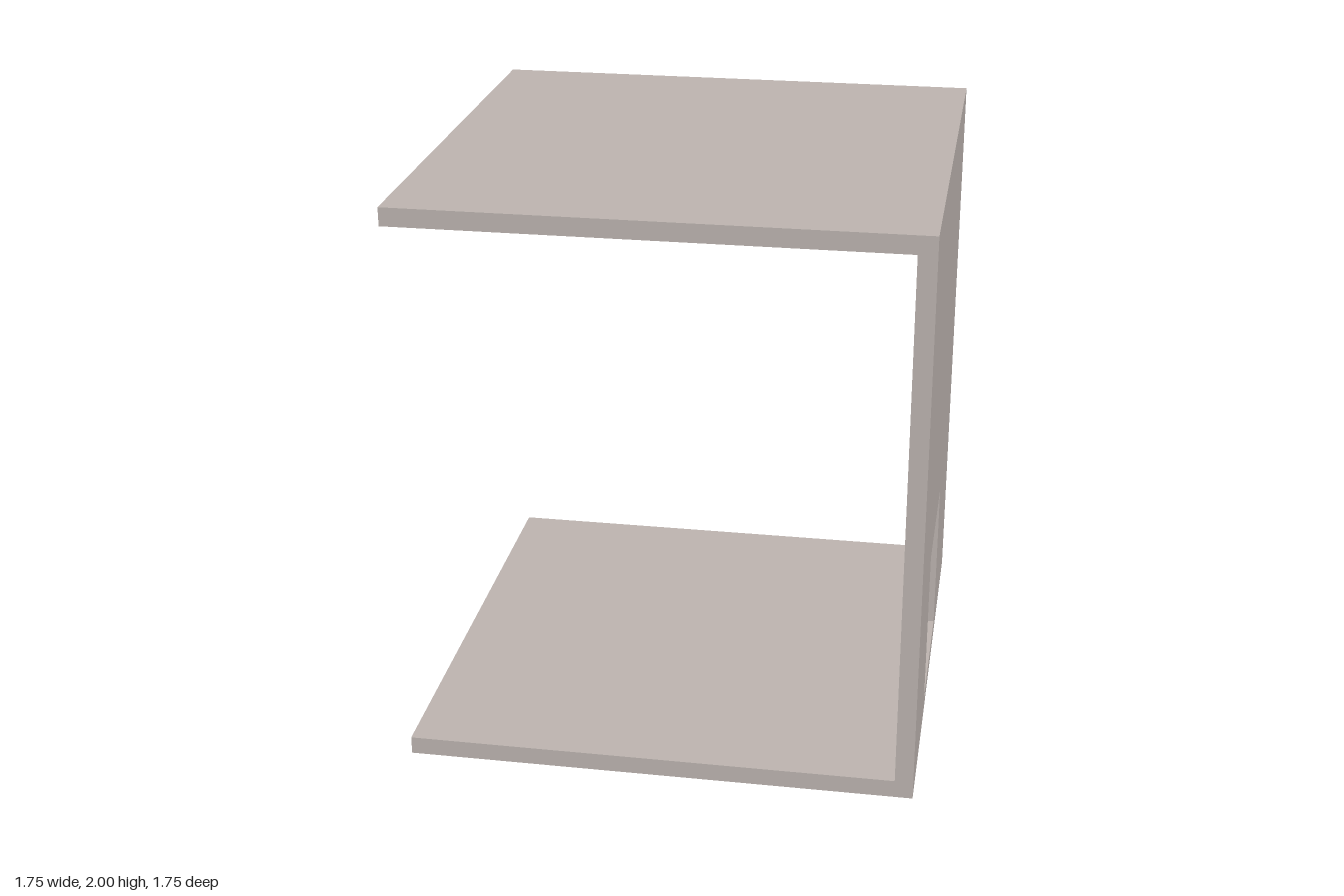
import * as THREE from 'three';

const HEIGHT = 2, HALF = 0.875, THICK = 0.0625;

export function createModel() {
  const model = new THREE.Group();
  model.name = 'openRoom';
  const plaster = new THREE.MeshStandardMaterial({ color: 0xbeb5b1 });
  plaster.name = 'warm grey plaster';

  const add = (name, geometry) => {
    const mesh = new THREE.Mesh(geometry, plaster);
    mesh.name = name;
    model.add(mesh);
    return mesh;
  };

  // Floor and ceiling slabs
  for (const [name, y] of [['floor', THICK / 2], ['ceiling', HEIGHT - THICK / 2]]) {
    add(name, new THREE.BoxGeometry(2 * HALF, THICK, 2 * HALF)).position.y = y;
  }

  // Side wall between the slabs, outlined in (z, y) with an off-centre doorway
  const doorBack = -0.25, doorFront = 0.3125, doorTop = 0.627;
  const outline = new THREE.Shape([
    [-HALF, THICK], [doorBack, THICK], [doorBack, doorTop], [doorFront, doorTop],
    [doorFront, THICK], [HALF, THICK], [HALF, HEIGHT - THICK], [-HALF, HEIGHT - THICK],
  ].map(([z, y]) => new THREE.Vector2(z, y)));
  const wall = add('doorwayWall', new THREE.ExtrudeGeometry(outline, { depth: THICK, bevelEnabled: false }));
  wall.rotation.y = -Math.PI / 2;
  wall.position.x = HALF;

  return model;
}
